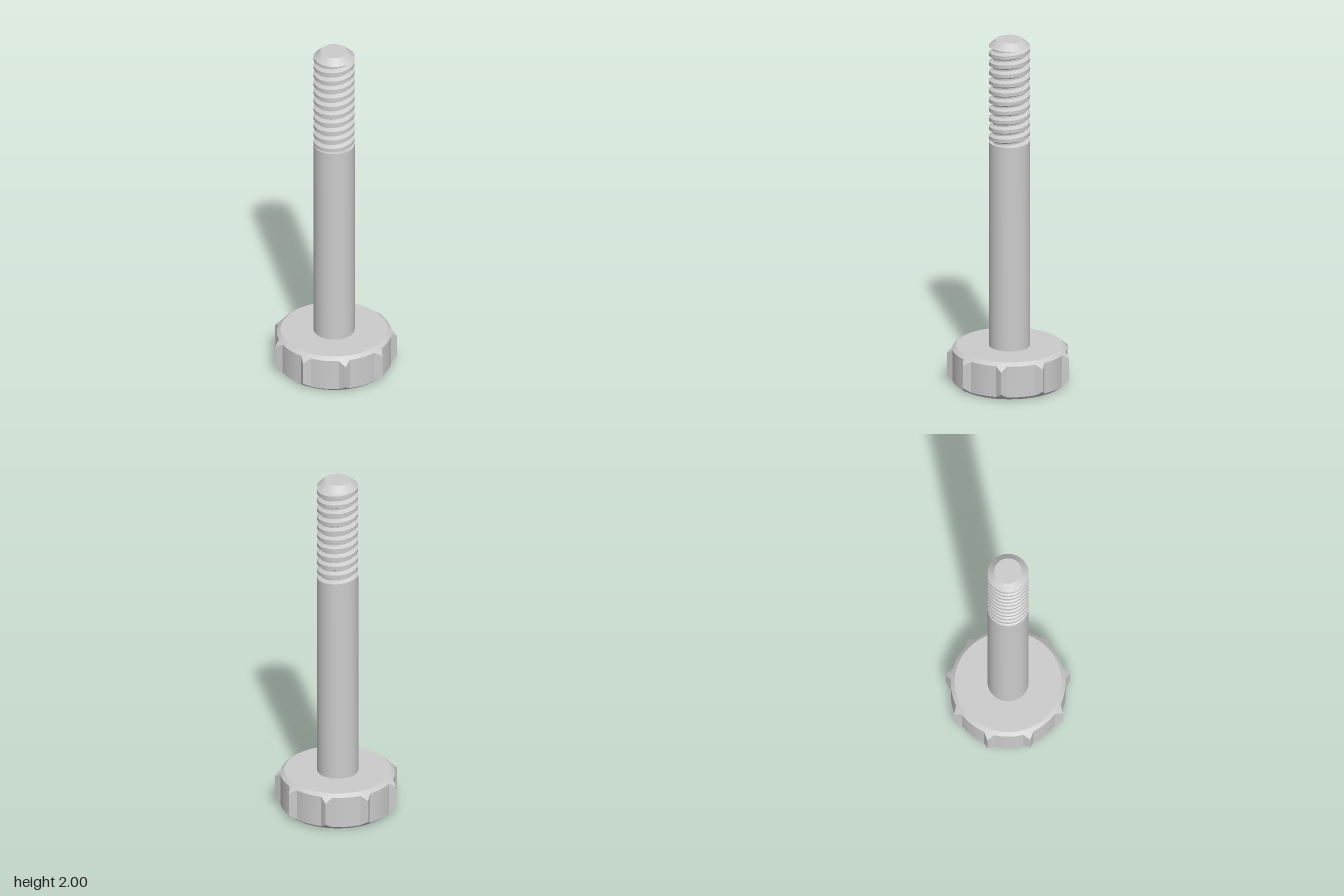
import * as THREE from 'three';
import { toCreasedNormals } from 'three/addons/utils/BufferGeometryUtils.js';

const SHAFT_R = 0.1135, KNOB_TOP = 0.215, THREAD_BOTTOM = 1.405, THREAD_TOP = 1.965;
const material = new THREE.MeshStandardMaterial({ color: 0xcccccc });

// Surface swept from cross-sections: sections[i][j] is a [radius, angle, height] point.
function sweep(sections) {
  const pos = [], index = [], n = sections[0].length;
  for (const section of sections)
    for (const [r, a, y] of section) pos.push(r * Math.cos(a), y, -r * Math.sin(a));
  for (let i = 0; i < sections.length - 1; i++)
    for (let j = 0; j < n - 1; j++) {
      const a = i * n + j, b = a + n;
      index.push(a, b, b + 1, a, b + 1, a + 1);
    }
  const geometry = new THREE.BufferGeometry();
  geometry.setAttribute('position', new THREE.Float32BufferAttribute(pos, 3));
  geometry.setIndex(index);
  return geometry;
}

function lathe(points) {
  return new THREE.LatheGeometry(points.map(([r, y]) => new THREE.Vector2(r, y)), 64);
}

function part(name, geometry) {
  const mesh = new THREE.Mesh(toCreasedNormals(geometry, 0.45), material);
  mesh.name = name;
  return mesh;
}

// Round knob with nine pointed ribs, all bevelled by one cone above and below.
function knobGeometry() {
  const body = 0.316, tip = 0.346, face = 0.295, slope = 0.84, ribs = 9;
  const half = THREE.MathUtils.degToRad(5.6), step = Math.PI * 2 / ribs;
  const outline = [];
  const base = new THREE.Vector2(body * Math.cos(half), body * Math.sin(half));
  for (let k = 0; k < ribs; k++) {
    // straight rib flanks
    for (let s = -4; s <= 4; s++) {
      const t = Math.abs(s) / 4;
      const x = THREE.MathUtils.lerp(tip, base.x, t), y = Math.sign(s) * t * base.y;
      outline.push([Math.hypot(x, y), k * step + Math.atan2(y, x)]);
    }
    // arc to the next rib
    for (let s = 1; s < 10; s++) outline.push([body, k * step + half + (step - 2 * half) * s / 10]);
  }
  outline.push([outline[0][0], outline[0][1] + Math.PI * 2]);
  return sweep(outline.map(([r, a]) => {
    const drop = slope * (r - face);
    return [[0, a, 0], [face, a, 0], [r, a, drop], [r, a, KNOB_TOP - drop],
      [face, a, KNOB_TOP], [SHAFT_R, a, KNOB_TOP]];
  }));
}

// Right-handed helical thread, cut off flat at both ends.
function threadGeometry() {
  const pitch = 0.054, root = 0.091, perTurn = 48;
  const profile = [[root, 0], [root, 0.18], [SHAFT_R, 0.4], [SHAFT_R, 0.78], [root, 1]];
  const turns = Math.ceil((THREAD_TOP - THREAD_BOTTOM) / pitch) + 2;
  const sections = [];
  for (let i = 0; i <= turns * perTurn; i++) {
    const turn = i / perTurn;
    sections.push(profile.map(([r, t]) => [r, turn * Math.PI * 2,
      THREE.MathUtils.clamp(THREAD_BOTTOM + (turn - 1 + t) * pitch, THREAD_BOTTOM, THREAD_TOP)]));
  }
  return sweep(sections);
}

export function createModel() {
  const model = new THREE.Group();
  model.name = 'thumbScrew';
  const screw = new THREE.Group();
  screw.name = 'screw';
  screw.position.x = -0.0105; // odd rib count makes the outline lopsided
  screw.add(
    part('knob', knobGeometry()),
    part('shaft', lathe([[SHAFT_R, KNOB_TOP], [SHAFT_R, THREAD_BOTTOM], [0, THREAD_BOTTOM]])),
    part('thread', threadGeometry()),
    part('chamferedTip', lathe([[0, THREAD_TOP], [SHAFT_R, THREAD_TOP], [0.075, 2], [0, 2]])),
  );
  model.add(screw);
  return model;
}
